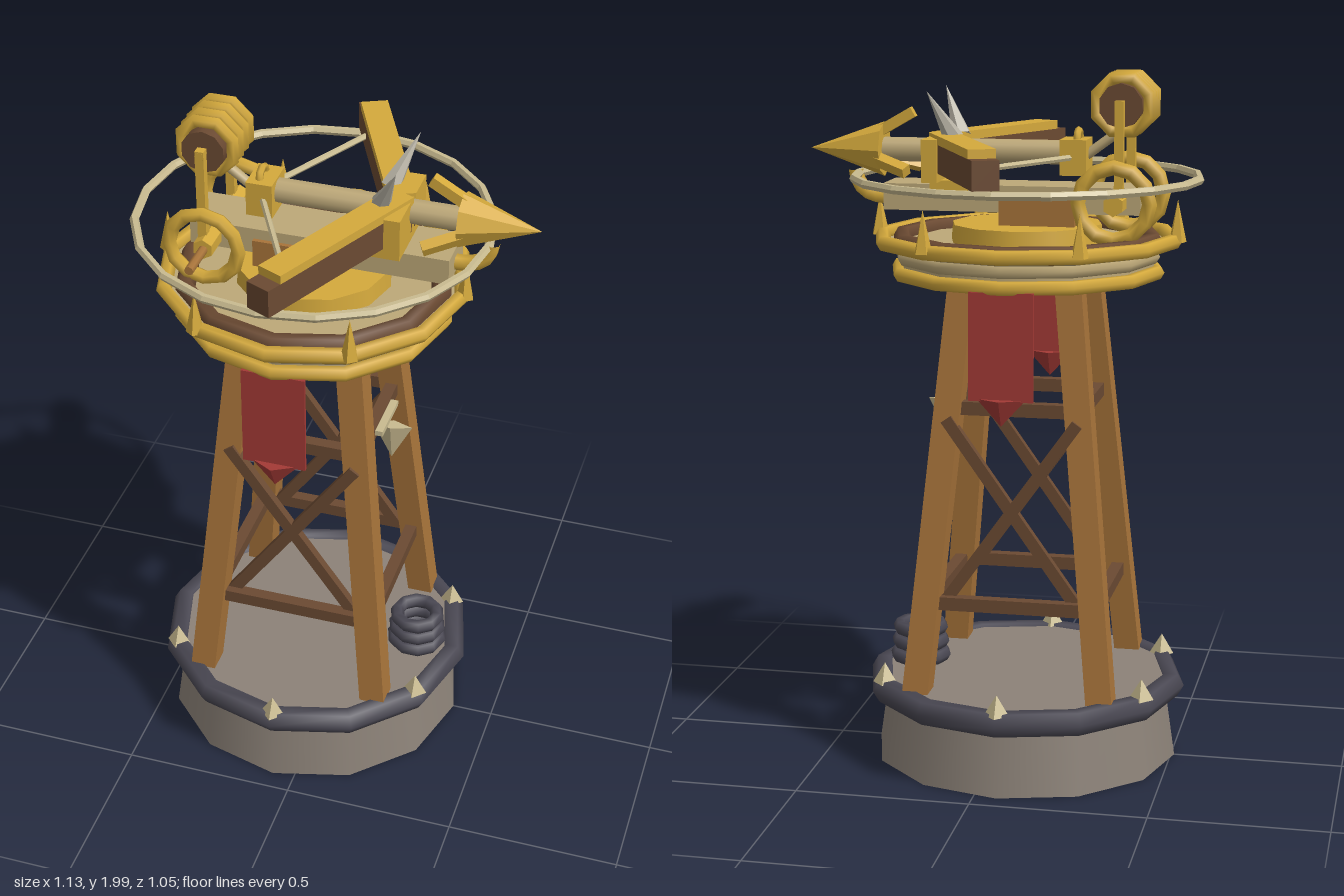
import * as THREE from 'three';

const CX = -0.065; // axis of the tower
const paint = (color, flatShading = false) => new THREE.MeshStandardMaterial({ color, flatShading });
const gold = paint(0xd4a93c), goldFlat = paint(0xd4a93c, true), wood = paint(0xa8743a);
const dark = paint(0x6b4a32), tan = paint(0xbda878), bone = paint(0xc9bb90, true);
const stone = paint(0x8c8278), iron = paint(0x4a4853), red = paint(0xa33a35, true);
const V = (x, y, z) => new THREE.Vector3(x, y, z);
const UP = V(0, 1, 0);

export function createModel() {
  const model = new THREE.Group();

  function add(name, geometry, material, x = 0, y = 0, z = 0) {
    const mesh = new THREE.Mesh(geometry, material);
    mesh.name = name;
    mesh.position.set(x, y, z);
    model.add(mesh);
    return mesh;
  }
  const box = (name, mat, w, h, d, x, y, z) => add(name, new THREE.BoxGeometry(w, h, d), mat, x, y, z);
  // Horizontal ring lying around the tower axis
  function ring(name, mat, R, r, y, x = CX, segments = 12, sides = 6) {
    const mesh = add(name, new THREE.TorusGeometry(R, r, sides, segments), mat, x, y, 0);
    mesh.rotation.x = Math.PI / 2;
    return mesh;
  }
  // Cylinder or cone from point a to point b
  function rod(name, mat, a, b, ra, rb = ra, sides = 8) {
    const d = b.clone().sub(a);
    const mesh = add(name, new THREE.CylinderGeometry(rb, ra, d.length(), sides), mat);
    mesh.position.copy(a).add(b).multiplyScalar(0.5);
    mesh.quaternion.setFromUnitVectors(UP, d.normalize());
    return mesh;
  }
  function drum(name, mat, rTop, rBottom, y0, y1, sides = 12) {
    return add(name, new THREE.CylinderGeometry(rTop, rBottom, y1 - y0, sides), mat, CX, (y0 + y1) / 2, 0);
  }

  // Stone base with iron rim and six studs
  drum('base', stone, 0.41, 0.445, 0, 0.24);
  ring('baseRim', iron, 0.432, 0.038, 0.215);
  for (let i = 0; i < 6; i++) {
    const a = Math.PI / 2 + i * Math.PI / 3;
    const x = CX + 0.433 * Math.cos(a), z = 0.433 * Math.sin(a);
    rod('baseStud', bone, V(x, 0.24, z), V(x, 0.3, z), 0.036, 0, 4);
  }
  // Coiled rope on the base
  for (let i = 0; i < 3; i++) ring('coil', iron, 0.07 - i * 0.004, 0.021, 0.265 + i * 0.042, 0.255, 10);

  // Four splayed legs: boxes whose height follows a lean
  for (const sx of [-1, 1]) for (const sz of [-1, 1]) {
    const g = new THREE.BoxGeometry(0.075, 1.2, 0.075);
    const p = g.attributes.position;
    for (let i = 0; i < p.count; i++) {
      const off = p.getY(i) > 0 ? 0.15 : 0.267;
      p.setX(i, p.getX(i) + sx * off);
      p.setZ(i, p.getZ(i) + sz * off);
    }
    g.computeVertexNormals();
    add('leg', g, wood, CX, 0.83, 0);
  }
  // Horizontal braces on all sides, crossed braces front and back
  for (const s of [-1, 1]) {
    for (const [y, off] of [[0.5, 0.24], [1.06, 0.185]]) {
      box('brace', dark, off * 2, 0.038, 0.035, CX, y, s * off);
      box('brace', dark, 0.035, 0.038, off * 2, CX + s * off, y, 0);
    }
    for (const t of [-1, 1]) {
      const brace = box('crossBrace', dark, 0.034, 0.645, 0.025, CX, 0.77, s * 0.222);
      brace.rotation.z = t * Math.atan2(0.37, 0.52);
    }
  }
  // Small shelf with a pointed bracket on the side brace
  box('shelf', bone, 0.05, 0.016, 0.16, 0.135, 1.065, 0);
  rod('shelfBracket', bone, V(0.165, 1.045, 0), V(0.165, 0.93, 0), 0.06, 0, 4).scale.z = 0.35;

  // Round deck with its rings and six spikes
  drum('deck', tan, 0.365, 0.365, 1.42, 1.515);
  ring('lowerDeckRing', gold, 0.374, 0.021, 1.432);
  ring('middleDeckRing', tan, 0.36, 0.022, 1.477);
  ring('upperDeckRing', gold, 0.422, 0.022, 1.522);
  drum('ringSeat', tan, 0.41, 0.37, 1.49, 1.512);
  ring('deckEdge', dark, 0.363, 0.028, 1.518);
  for (let i = 0; i < 6; i++) {
    const a = i * Math.PI / 3;
    const x = CX + 0.43 * Math.cos(a), z = 0.43 * Math.sin(a);
    rod('deckSpike', goldFlat, V(x, 1.52, z), V(x, 1.64, z), 0.026, 0, 5);
  }
  ring('guardHoop', bone, 0.49, 0.013, 1.695, CX, 20);

  // Hanging banners front and back
  for (const s of [-1, 1]) {
    box('banner', red, 0.18, 0.3, 0.01, CX, 1.27, s * 0.37);
    rod('bannerPoint', red, V(CX, 1.125, s * 0.37), V(CX, 1.05, s * 0.37), 0.068, 0, 4).scale.z = 0.55;
  }

  // Turntable, mount and stock
  drum('turntable', gold, 0.215, 0.22, 1.51, 1.565);
  box('mount', dark, 0.215, 0.08, 0.175, -0.108, 1.605, 0).material = wood;
  box('stock', tan, 0.735, 0.075, 0.15, -0.032, 1.638, 0);
  box('stockClasp', gold, 0.11, 0.035, 0.16, 0.145, 1.67, 0);
  const hook = new THREE.QuadraticBezierCurve3(V(0.32, 1.63, 0), V(0.43, 1.62, 0), V(0.435, 1.705, 0));
  add('frontHook', new THREE.TubeGeometry(hook, 6, 0.022, 6), gold);

  // Bolt: shaft, head and three barbs
  rod('boltShaft', tan, V(-0.2, 1.765, 0), V(0.37, 1.765, 0), 0.035, 0.035, 10);
  rod('boltHead', goldFlat, V(0.35, 1.765, 0), V(0.567, 1.765, 0), 0.078, 0, 8);
  for (let i = 0; i < 3; i++) {
    const barbs = new THREE.Group();
    barbs.name = 'barb';
    barbs.position.set(0.32, 1.765, 0);
    barbs.rotation.x = i * Math.PI * 2 / 3;
    const barb = new THREE.Mesh(new THREE.BoxGeometry(0.13, 0.03, 0.03), gold);
    barb.position.y = 0.075;
    barb.rotation.z = -0.52;
    barbs.add(barb);
    model.add(barbs);
  }

  // Bow: bracket, two swept arms with gold straps, horns and string
  box('bowBracket', gold, 0.045, 0.12, 0.26, 0.19, 1.745, 0);
  for (const s of [-1, 1]) {
    const arm = new THREE.Group();
    arm.name = 'bowArm';
    arm.position.set(0.18, 0, 0);
    arm.rotation.y = -s * 0.43;
    const beam = new THREE.Mesh(new THREE.BoxGeometry(0.075, 0.08, 0.56), dark);
    beam.position.set(0, 1.75, s * 0.28);
    const strap = new THREE.Mesh(new THREE.BoxGeometry(0.077, 0.025, 0.52), gold);
    strap.position.set(0, 1.803, s * 0.255);
    arm.add(beam, strap);
    model.add(arm);
    rod('horn', paint(0xb9b4a6, true), V(0.135, 1.8, s * 0.05), V(0.197, 1.94, s * 0.122), 0.03, 0, 6);
    rod('bowString', bone, V(-0.015, 1.755, s * 0.4), V(-0.2, 1.755, s * 0.04), 0.009, 0.009, 6);
  }
  // String carriage with catch and rope to the winch
  box('carriage', gold, 0.075, 0.1, 0.11, -0.205, 1.755, 0);
  add('catch', new THREE.TorusGeometry(0.028, 0.011, 6, 8), gold, -0.212, 1.8, 0).rotation.y = Math.PI / 2;
  rod('winchRope', tan, V(-0.23, 1.755, 0), V(-0.345, 1.84, 0), 0.014);

  // Winch wheels, hubs, posts and crank
  for (const s of [-1, 1]) {
    add('winchWheel', new THREE.TorusGeometry(0.1, 0.021, 6, 12), gold, -0.335, 1.64, s * 0.145);
    rod('wheelHub', goldFlat, V(-0.335, 1.635, s * 0.07), V(-0.335, 1.635, s * 0.155), 0.03, 0.03, 6);
    box('spoolPost', gold, 0.025, 0.27, 0.025, -0.345, 1.785, s * 0.115);
  }
  rod('crankHandle', wood, V(-0.333, 1.635, 0.15), V(-0.333, 1.635, 0.268), 0.013);

  // Spool with four gold bands
  rod('spoolAxle', gold, V(-0.345, 1.905, -0.128), V(-0.345, 1.905, 0.128), 0.013);
  rod('spool', dark, V(-0.345, 1.905, -0.1), V(-0.345, 1.905, 0.1), 0.062, 0.062, 10);
  for (let i = 0; i < 4; i++) {
    add('spoolBand', new THREE.TorusGeometry(0.077, 0.019, 6, 8), gold, -0.345, 1.905, -0.063 + i * 0.042).rotation.z = Math.PI / 8;
  }
  return model;
}
